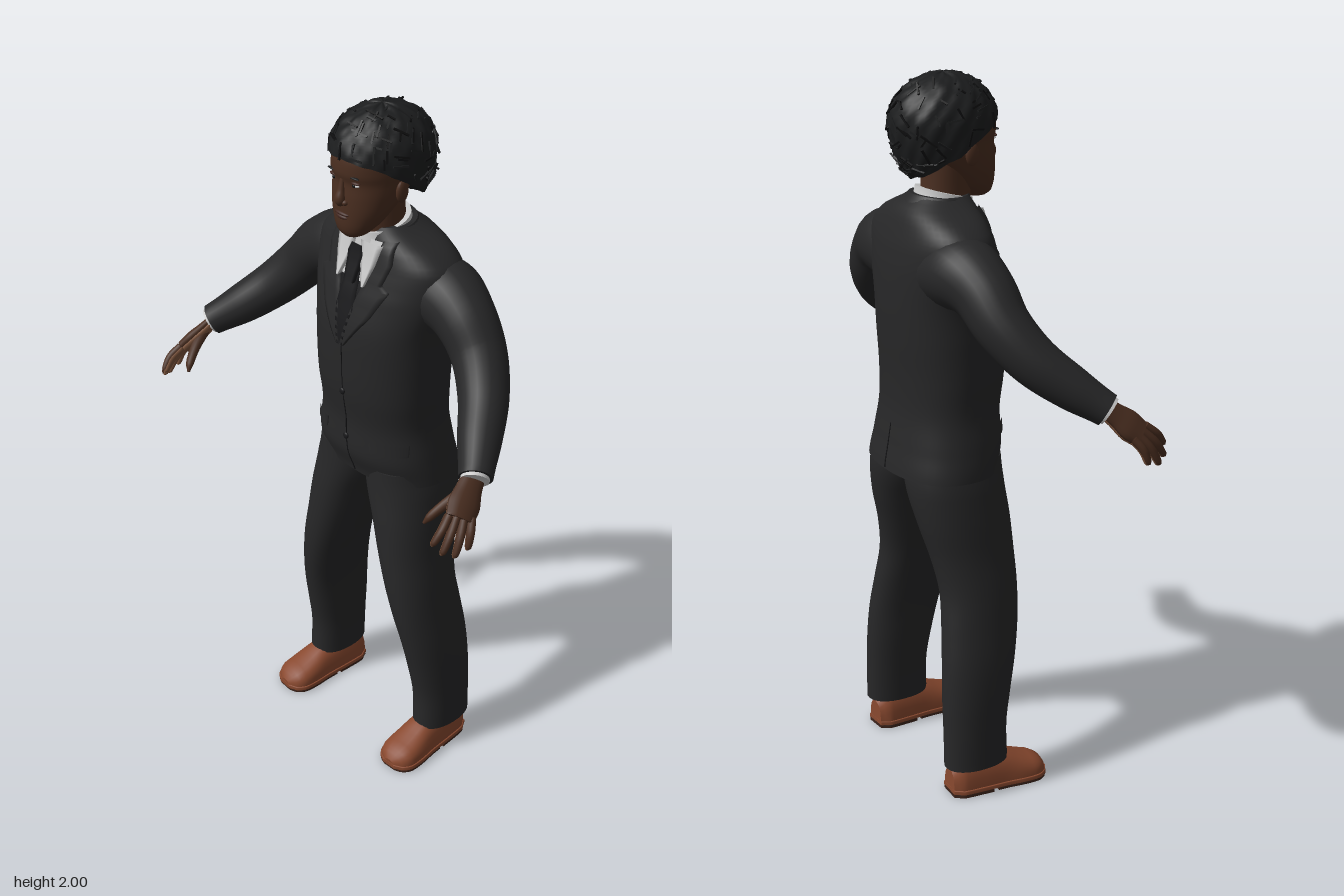
import * as THREE from 'three';
import { mergeGeometries } from 'three/addons/utils/BufferGeometryUtils.js';

const V = (x, y, z) => new THREE.Vector3(x, y, z);
const TAU = Math.PI * 2;
const pw = (v, e) => Math.sign(v) * Math.abs(v) ** e;
const list = (n, f) => Array.from({ length: n }, (_, i) => f(i));

// Skins rings of points with smooth normals; caps get a sharp edge.
function skin(rings, closed = true) {
  if (closed) {
    const mid = r => r.map(() => r.reduce((s, p) => s.add(p), V(0, 0, 0)).divideScalar(r.length));
    const a = rings[0], b = rings[rings.length - 1];
    rings = [mid(a), a, ...rings, b, mid(b)];
  }
  const n = rings[0].length, idx = [], cols = closed ? n : n - 1;
  for (let i = 0; i < rings.length - 1; i++) for (let j = 0; j < cols; j++) {
    const k = (j + 1) % n, a = i * n + j, b = i * n + k, c = a + n, d = b + n;
    idx.push(a, c, b, b, c, d);
  }
  const g = new THREE.BufferGeometry().setFromPoints(rings.flat()).setIndex(idx);
  g.computeVertexNormals();
  return g;
}

// Smooth interpolation of table rows by their first column.
function sample(rows, y) {
  let i = 0;
  while (i < rows.length - 2 && y > rows[i + 1][0]) i++;
  const t = THREE.MathUtils.clamp((y - rows[i][0]) / (rows[i + 1][0] - rows[i][0]), 0, 1);
  const p = [-1, 0, 1, 2].map(k => rows[Math.min(Math.max(i + k, 0), rows.length - 1)]);
  return p[1].map((b, k) => {
    const a = p[0][k], c = p[2][k], d = p[3][k];
    return b + 0.5 * t * (c - a + t * (2 * a - 5 * b + 4 * c - d + t * (3 * (b - c) + d - a)));
  });
}

// Upright body from rows [y, xMin, xMax, zFront, zBack]; tilt lowers the front.
function loft(rows, { e = 1, n = 32, steps = 40, tilt = 0 } = {}) {
  const y0 = rows[0][0], y1 = rows[rows.length - 1][0];
  return skin(list(steps + 1, i => {
    const y = y0 + (y1 - y0) * i / steps, [, xa, xb, zf, zb] = sample(rows, y);
    return list(n, j => {
      const a = j / n * TAU, dz = (zf - zb) / 2 * pw(Math.sin(a), e);
      return V((xa + xb) / 2 + (xb - xa) / 2 * pw(Math.cos(a), e), y - tilt * dz, (zf + zb) / 2 + dz);
    });
  }));
}
const sym = rows => rows.map(([y, w, f, b]) => [y, -w, w, f, b]);

// Round limb through points [x, y, z, radius]; flat squeezes it across the palm.
function limb(pts, { n = 14, steps = 20, flat = 1 } = {}) {
  const curve = new THREE.CatmullRomCurve3(pts.map(p => V(p[0], p[1], p[2])));
  const radii = pts.map((p, i) => [i, p[3]]);
  return skin(list(steps + 1, i => {
    const t = i / steps, c = curve.getPoint(t), T = curve.getTangent(t);
    const N = V(1, 1, 0).addScaledVector(T, -V(1, 1, 0).dot(T)).normalize(), B = N.clone().cross(T);
    const r = sample(radii, t * (pts.length - 1))[1];
    return list(n, j => c.clone().addScaledVector(N, Math.cos(j / n * TAU) * r * flat)
      .addScaledVector(B, Math.sin(j / n * TAU) * r));
  }));
}

const TORSO = sym([[0.93, 0.218, 0.035, -0.262], [1, 0.208, 0.055, -0.25], [1.1, 0.192, 0.055, -0.235],
  [1.2, 0.195, 0.068, -0.234], [1.3, 0.198, 0.072, -0.24], [1.4, 0.203, 0.068, -0.243], [1.5, 0.225, 0.042, -0.24],
  [1.56, 0.234, 0.02, -0.232], [1.595, 0.226, 0.008, -0.222], [1.63, 0.18, 0, -0.21], [1.655, 0.125, -0.005, -0.195],
  [1.68, 0.08, -0.012, -0.165]]);
const TE = 0.85;

// Thin cloth panel lying on the torso, rows [y, x0, x1] from bottom to top.
function panel(rows, off, side = 1) {
  return skin(list((rows.length - 1) * 5 + 1, i => {
    const k = Math.min(Math.floor(i / 5), rows.length - 2), f = i / 5 - k;
    const [y, a, b] = rows[k].map((v, m) => v + (rows[k + 1][m] - v) * f);
    const [, , w, zf, zb] = sample(TORSO, y);
    return [0, 0, 0.2, 0.4, 0.6, 0.8, 1, 1].map((c, j) => {
      const x = side > 0 ? b + (a - b) * c : a + (b - a) * c;
      const d = (zf - zb) / 2 * Math.max(0, 1 - Math.abs(x / w) ** (2 / TE)) ** (TE / 2);
      return V(x, y, (zf + zb) / 2 + side * (d + (j % 7 ? off : -0.002)));
    });
  }), false);
}
const blob = (x, y, z, rx, ry, rz) => new THREE.SphereGeometry(1, 16, 12).scale(rx, ry, rz).translate(x, y, z);

export function createModel() {
  const root = new THREE.Group(), M = {};
  root.name = 'suitedFigure';
  const colors = { suit: 0x272728, tie: 0x19191b, shirt: 0xc9c9c9, skin: 0x4a2e20, palm: 0x80573e,
    lips: 0x422720, hair: 0x1c1d1e, hairShadow: 0x0d0d0e, leather: 0x89492f, sole: 0x3c241b };
  for (const name in colors) {
    M[name] = new THREE.MeshStandardMaterial({ color: colors[name] });
    M[name].name = name;
  }
  const add = (name, geo, mat) => {
    root.add(new THREE.Mesh(geo, mat));
    root.children.at(-1).name = name;
  };
  const pair = (name, geo, mat) => {
    const g = geo.clone().scale(-1, 1, 1), ix = g.index.array;
    for (let i = 0; i < ix.length; i += 3) [ix[i], ix[i + 1]] = [ix[i + 1], ix[i]];
    add(name + 'Left', geo, mat);
    add(name + 'Right', g, mat);
  };

  // Jacket
  add('jacket', loft(TORSO, { e: TE, n: 48, steps: 60 }), M.suit);
  pair('sleeve', limb([[0.12, 1.5, -0.125, 0.1], [0.2, 1.507, -0.122, 0.099], [0.275, 1.476, -0.112, 0.085],
    [0.345, 1.405, -0.098, 0.075], [0.415, 1.325, -0.05, 0.067], [0.48, 1.257, 0.025, 0.058], [0.54, 1.203, 0.096, 0.045]],
  { n: 24, steps: 40 }), M.suit);
  pair('lapel', panel([[1.35, 0, 0.012], [1.45, 0.022, 0.085], [1.53, 0.045, 0.125], [1.545, 0.05, 0.1],
    [1.6, 0.066, 0.115], [1.655, 0.075, 0.105]], 0.009), M.suit);
  add('jacketCollar', loft(sym([[1.635, 0.115, -0.005, -0.195], [1.66, 0.1, -0.01, -0.18], [1.678, 0.086, -0.014, -0.165]]),
    { tilt: 0.1, steps: 8 }), M.suit);
  pair('pocketFlap', panel([[1.035, 0.09, 0.18], [1.07, 0.085, 0.178]], 0.006), M.suit);
  add('frontSeam', panel([[0.935, 0.012, 0.015], [1.05, -0.001, 0.001], [1.35, -0.001, 0.001]], 0.002), M.tie);
  add('backVent', panel([[0.935, -0.002, 0.002], [1.06, -0.001, 0.001]], 0.002, -1), M.tie);
  for (const y of [1.05, 1.2]) add('button', blob(0, y, sample(TORSO, y)[3] + 0.003, 0.01, 0.01, 0.005), M.tie);

  // Shirt and tie
  add('shirtFront', panel([[1.535, -0.04, 0.04], [1.6, -0.068, 0.068], [1.65, -0.08, 0.08]], 0.004), M.shirt);
  add('shirtCollar', loft(sym([[1.635, 0.085, 0.012, -0.16], [1.684, 0.076, 0.004, -0.148]]), { tilt: 0.25, steps: 6 }), M.shirt);
  pair('collarPoint', panel([[1.53, 0.046, 0.052], [1.59, 0.022, 0.07], [1.645, 0.012, 0.08]], 0.016), M.shirt);
  add('vestShadow', panel([[1.36, -0.006, 0.006], [1.45, -0.03, 0.03], [1.535, -0.05, 0.05]], 0.003), M.tie);
  add('tie', panel([[1.35, -0.01, 0.01], [1.46, -0.032, 0.032], [1.56, -0.022, 0.022]], 0.009), M.tie);
  add('tieKnot', panel([[1.53, -0.018, 0.018], [1.605, -0.027, 0.027], [1.63, -0.018, 0.018]], 0.018), M.tie);
  pair('shirtCuff', limb([[0.53, 1.212, 0.086, 0.037], [0.543, 1.199, 0.102, 0.038]], { steps: 3, n: 20 }), M.shirt);

  // Trousers
  pair('trouserLeg', loft([[0.09, 0.175, 0.295, -0.015, -0.205], [0.2, 0.17, 0.293, -0.016, -0.205],
    [0.3, 0.161, 0.29, 0, -0.205], [0.4, 0.15, 0.282, 0.02, -0.2], [0.5, 0.128, 0.267, 0.038, -0.19],
    [0.6, 0.098, 0.252, 0.047, -0.182], [0.7, 0.066, 0.236, 0.048, -0.198], [0.8, 0.033, 0.226, 0.045, -0.224],
    [0.9, -0.006, 0.213, 0.038, -0.24], [0.97, -0.01, 0.198, 0.035, -0.235]], { e: 0.9 }), M.suit);

  // Shoes from rows [z, half width, height]
  const shoe = [[-0.19, 0.03, 0.06], [-0.165, 0.046, 0.09], [-0.1, 0.051, 0.1], [-0.03, 0.054, 0.088],
    [0.03, 0.06, 0.062], [0.072, 0.058, 0.046], [0.096, 0.042, 0.032], [0.106, 0.018, 0.014]];
  const shoePart = (z0, z1, y, grow, e, thick) => skin(list(25, i => {
    const z = z0 + (z1 - z0) * i / 24, [, w, h] = sample(shoe, z);
    return list(24, j => V((w + grow) * pw(Math.cos(j / 24 * TAU), e),
      y + (thick ?? h) * pw(Math.max(0, -Math.sin(j / 24 * TAU)), e), z));
  })).rotateY(0.06).translate(0.236, 0, 0);
  pair('shoe', shoePart(-0.19, 0.106, 0.018, 0, 0.8), M.leather);
  pair('welt', shoePart(-0.191, 0.108, 0.011, 0.004, 0.2, 0.012), M.leather);
  pair('frontSole', shoePart(-0.06, 0.105, 0.002, 0.002, 0.2, 0.01), M.sole);
  pair('heel', shoePart(-0.19, -0.075, 0, 0.002, 0.2, 0.012), M.sole);

  // Hands, with lighter undersides
  const under = (pts, d, s) => pts.map(([x, y, z, r]) => [x - d, y - d * 0.75, z - d * 0.3, r * s]);
  const palm = [[0.535, 1.21, 0.093, 0.031], [0.545, 1.185, 0.122, 0.036], [0.558, 1.158, 0.152, 0.045],
    [0.572, 1.133, 0.18, 0.04]];
  pair('hand', limb(palm, { flat: 0.42 }), M.skin);
  pair('palm', limb(under(palm, 0.008, 0.93), { flat: 0.35 }), M.palm);
  const tips = [[0.562, 1.085, 0.265], [0.583, 1.062, 0.252], [0.6, 1.05, 0.225], [0.607, 1.06, 0.187]];
  tips.forEach(([x, y, z], i) => {
    const s = (i - 1.5) * 0.021, b = [0.57 + 0.43 * s, 1.138 - 0.29 * s, 0.176 - 0.86 * s];
    const pts = [[...b, 0.0115], [(b[0] + x) / 2 + 0.006, (b[1] + y) / 2 + 0.004, (b[2] + z) / 2 + 0.002, 0.0115],
      [x, y + 0.006, z - 0.005, 0.0085], [x, y, z, 0.003]];
    pair('finger' + (i + 1), limb(pts, { n: 10, steps: 12 }), M.skin);
    pair('fingerPad' + (i + 1), limb(under(pts, 0.0035, 0.92), { n: 10, steps: 12 }), M.palm);
  });
  pair('thumb', limb([[0.54, 1.18, 0.13, 0.018], [0.518, 1.15, 0.18, 0.014], [0.5, 1.118, 0.215, 0.011],
    [0.491, 1.1, 0.227, 0.004]], { n: 10, steps: 12 }), M.skin);

  // Head and face
  add('neck', loft(sym([[1.6, 0.07, -0.005, -0.145], [1.68, 0.064, 0.002, -0.135], [1.78, 0.066, 0, -0.13]])), M.skin);
  add('head', loft(sym([[1.664, 0.026, 0.053, 0], [1.675, 0.045, 0.064, -0.01], [1.7, 0.064, 0.07, -0.05],
    [1.74, 0.083, 0.071, -0.09], [1.78, 0.094, 0.07, -0.13], [1.82, 0.1, 0.067, -0.16], [1.845, 0.102, 0.073, -0.17],
    [1.89, 0.101, 0.068, -0.175], [1.94, 0.09, 0.045, -0.165], [1.975, 0.045, -0.01, -0.12]]), { e: 0.95 }), M.skin);
  add('nose', limb([[0, 1.83, 0.064, 0.007], [0, 1.8, 0.069, 0.01], [0, 1.776, 0.073, 0.015], [0, 1.762, 0.068, 0.013]]), M.skin);
  pair('nostril', blob(0.014, 1.768, 0.068, 0.009, 0.008, 0.01), M.skin);
  add('upperLip', blob(0, 1.734, 0.066, 0.027, 0.006, 0.01), M.lips);
  add('lowerLip', blob(0, 1.725, 0.065, 0.023, 0.007, 0.011), M.lips);
  pair('eye', blob(0.038, 1.82, 0.055, 0.014, 0.005, 0.007), M.shirt);
  pair('iris', blob(0.038, 1.82, 0.059, 0.006, 0.005, 0.005), M.hairShadow);
  pair('eyelid', blob(0.038, 1.827, 0.056, 0.018, 0.005, 0.008), M.lips);
  pair('brow', blob(0.039, 1.843, 0.062, 0.02, 0.003, 0.006), M.hair);
  pair('ear', blob(0.104, 1.795, -0.045, 0.01, 0.03, 0.02), M.skin);

  // Hair: a lumpy cap whose hairline drops towards the nape, with short locks
  let seed = 7;
  const rnd = () => (seed = (seed * 16807) % 2147483647) / 2147483647;
  const hairPoint = (a, v) => {
    const p = v * (1.43 + 1.12 * ((1 - Math.sin(a)) / 2) ** 1.1), c = Math.cos(p), s = Math.sin(p) ** (c > 0 ? 1 : 0.75);
    const r = 1 + 0.022 * Math.sin(9 * a + 5 * p) * Math.sin(7 * p) + 0.014 * Math.sin(17 * a - 11 * p) * s;
    return V(0.127 * r * s * Math.cos(a), 1.87 + (c > 0 ? 0.127 : 0.17) * r * c, -0.072 + 0.15 * r * s * Math.sin(a));
  };
  add('hair', skin(list(29, i => list(56, j => hairPoint(j / 56 * TAU, 1 - i / 28 * 0.99)))), M.hair);
  const locks = list(150, () => {
    const q = hairPoint(rnd() * TAU, 0.12 + 0.84 * Math.sqrt(rnd())), out = q.clone().sub(V(0, 1.87, -0.072)).normalize();
    return new THREE.BoxGeometry(0.005, 0.02 + 0.03 * rnd(), 0.005).rotateZ(rnd() < 0.5 ? 0.1 : 1.5)
      .applyQuaternion(new THREE.Quaternion().setFromUnitVectors(V(0, 0, 1), out)).translate(q.x, q.y, q.z);
  });
  add('lightLocks', mergeGeometries(locks.slice(0, 80)), M.hair);
  add('darkLocks', mergeGeometries(locks.slice(80)), M.hairShadow);
  return root;
}
